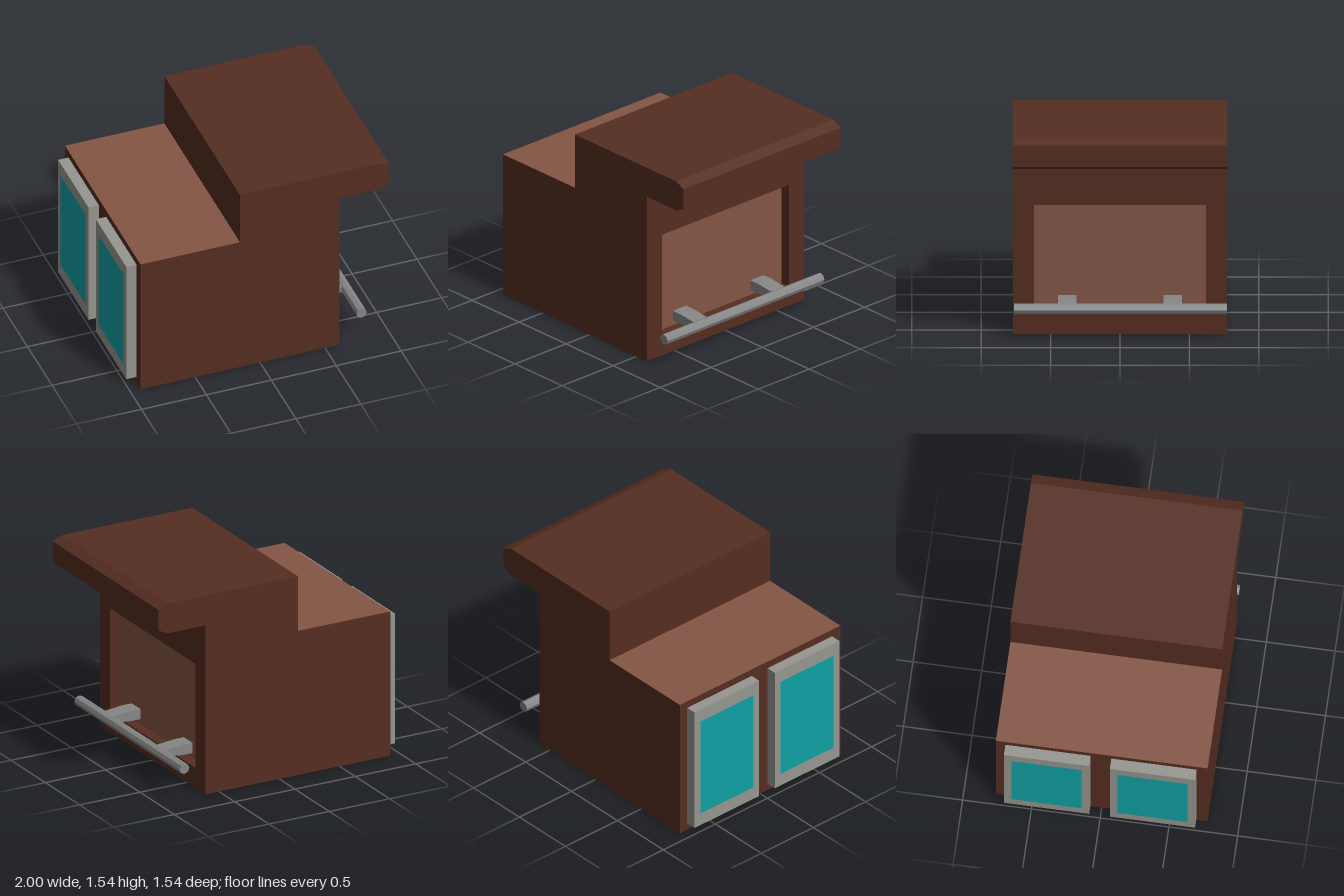
import * as THREE from 'three';

const mat = (color, extra = {}) => new THREE.MeshStandardMaterial({ color, flatShading: true, ...extra });
const darkWood = mat(0x552d20);
const lightWood = mat(0x845545);
const frameGrey = mat(0x969690);
const metal = mat(0x868686);
const teal = mat(0x10a0a5);

const HALF = 0.77;      // half length along z
const FACE = 0.61;      // outer plane of the customer side
const RECESS = 0.53;    // back plane of the recessed panel

function add(parent, name, geometry, material, x = 0, y = 0, z = 0) {
  const mesh = new THREE.Mesh(geometry, material);
  mesh.name = name;
  mesh.position.set(x, y, z);
  parent.add(mesh);
  return mesh;
}

const polygon = (points) => new THREE.Shape(points.map(([x, y]) => new THREE.Vector2(x, y)));

// Extrudes an x-y outline along z, centred on z = 0
function extrudeZ(points, depth) {
  return new THREE.ExtrudeGeometry(polygon(points), { depth, bevelEnabled: false })
    .translate(0, 0, -depth / 2);
}

export function createModel() {
  const model = new THREE.Group();
  model.name = 'barCounter';

  // Stepped body with the chamfered overhanging bar top
  add(model, 'counterBody', extrudeZ([
    [-0.92, 0], [RECESS, 0], [RECESS, 1.31], [0.92, 1.31], [1, 1.345], [1, 1.505],
    [0.92, 1.54], [-0.155, 1.54], [-0.155, 1.115], [-0.92, 1.115],
  ], HALF * 2), darkWood);

  // Frame around the recess on the customer side
  const frame = polygon([[-HALF, 0], [HALF, 0], [HALF, 1.31], [-HALF, 1.31]]);
  frame.holes.push(polygon([[-0.62, 0.155], [-0.62, 0.96], [0.62, 0.96], [0.62, 0.155]]));
  const frameGeometry = new THREE.ExtrudeGeometry(frame, { depth: FACE - RECESS, bevelEnabled: false })
    .rotateY(Math.PI / 2);
  add(model, 'recessFrame', frameGeometry, darkWood, RECESS);

  // Light panel at the back of the recess, and the light worktop
  add(model, 'recessPanel', new THREE.PlaneGeometry(1.24, 0.805).rotateY(Math.PI / 2),
    lightWood, RECESS + 0.002, 0.5575, 0);
  add(model, 'worktop', new THREE.PlaneGeometry(0.765, HALF * 2).rotateX(-Math.PI / 2),
    lightWood, -0.5375, 1.117, 0);

  // Foot rail on two tapered brackets
  add(model, 'footRail', new THREE.CylinderGeometry(0.04, 0.04, 1.535, 8).rotateX(Math.PI / 2),
    metal, 0.785, 0.232, -0.0025);
  const bracket = extrudeZ([
    [RECESS, 0.193], [FACE, 0.193], [0.77, 0.209], [0.77, 0.255], [FACE, 0.271], [RECESS, 0.271],
  ], 0.13);
  for (const z of [-0.38, 0.38]) add(model, 'railBracket', bracket, metal, 0, 0, z);

  // Two cabinet doors with glass panels on the serving side
  for (const z of [-0.39, 0.38]) {
    const door = new THREE.Group();
    door.name = 'cabinetDoor';
    door.position.set(-0.96, 0.5575, z);
    add(door, 'doorFrame', new THREE.BoxGeometry(0.08, 1.005, 0.62), frameGrey);
    add(door, 'doorGlass', new THREE.PlaneGeometry(0.51, 0.8).rotateY(-Math.PI / 2), teal, -0.0415);
    model.add(door);
  }

  return model;
}
